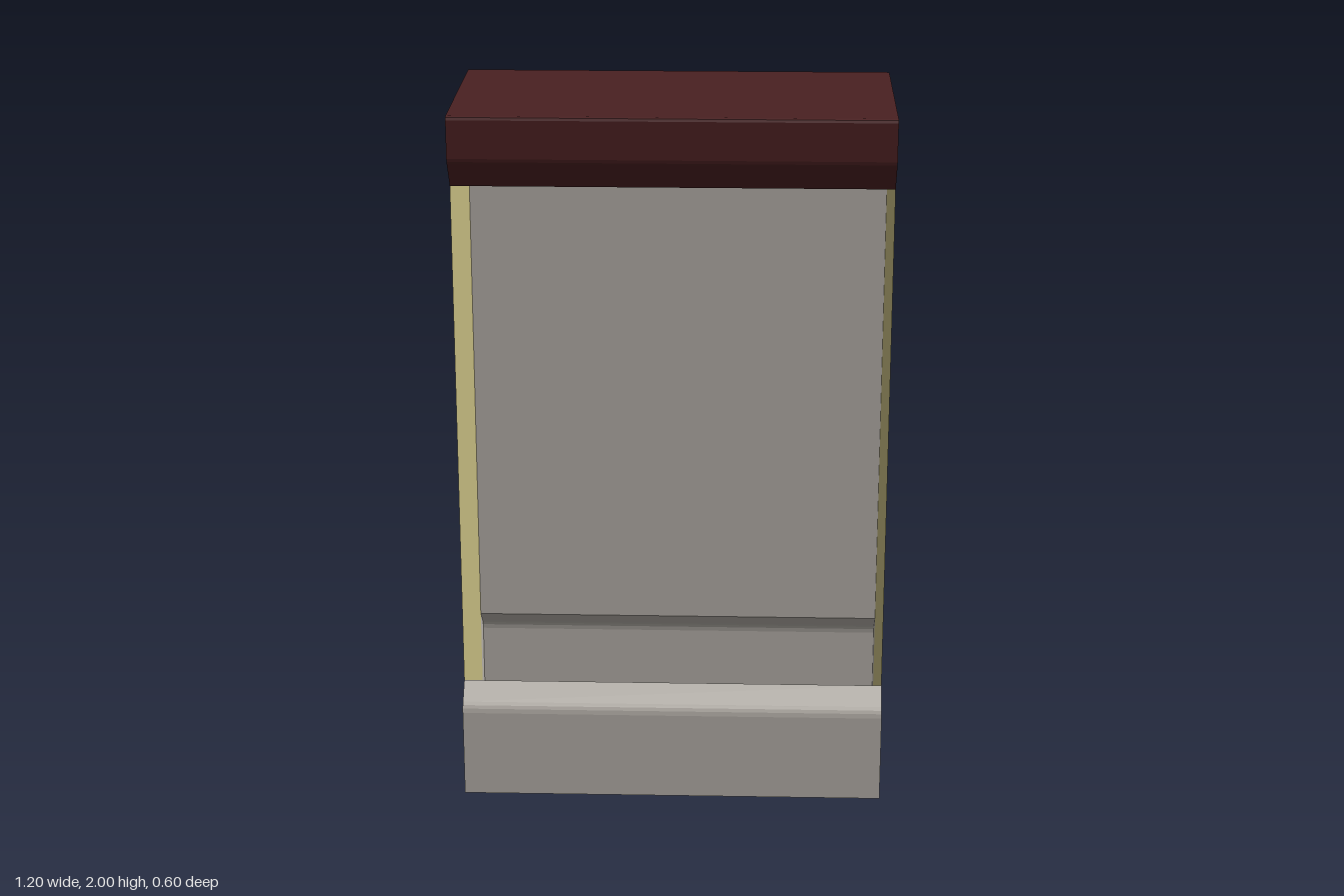
import * as THREE from 'three';
import { toCreasedNormals } from 'three/addons/utils/BufferGeometryUtils.js';

const HALF = 0.6; // half the length of the wall section

const makeMaterial = (name, color) => {
  const m = new THREE.MeshStandardMaterial({ color, side: THREE.DoubleSide });
  m.name = name;
  return m;
};

// Sheet swept along x; profile points are [z, y], running from back to front over the top
function sheet(profile) {
  const geo = new THREE.PlaneGeometry(2 * HALF, 1, 1, profile.length - 1);
  const pos = geo.attributes.position;
  for (let i = 0; i < pos.count; i++) {
    const [z, y] = profile[Math.floor(i / 2)];
    pos.setXYZ(i, pos.getX(i), y, z);
  }
  return toCreasedNormals(geo, 0.05);
}

// Flat end face in the z-y plane, facing outward on the given side
function endFace(points, side) {
  const shape = new THREE.Shape(points.map(([z, y]) => new THREE.Vector2(-side * z, y)));
  return new THREE.ShapeGeometry(shape).rotateY(side * Math.PI / 2).translate(side * HALF, 0, 0);
}

const mirrorZ = (points) => points.map(([z, y]) => [-z, y]).reverse();

export function createModel() {
  const group = new THREE.Group();
  group.name = 'wallSection';
  const stone = makeMaterial('grey stone', 0xb6b1aa);
  const core = makeMaterial('tan core', 0xc6bc80);
  const coping = makeMaterial('dark red coping', 0x4a2021);

  const add = (name, geometry, material) => {
    const mesh = new THREE.Mesh(geometry, material);
    mesh.name = name;
    group.add(mesh);
  };

  // Coping half profile, top to bottom
  const capFront = [[0.29, 2], [0.297, 1.997], [0.3, 1.99], [0.3, 1.885], [0.298, 1.876], [0.294, 1.87], [0.238, 1.795]];
  const capProfile = [...mirrorZ(capFront), ...capFront];
  add('coping', sheet(capProfile), coping);

  // Plinth half profile, top to bottom
  const plinth = [[0.238, 0.33], [0.287, 0.285], [0.294, 0.277], [0.298, 0.268], [0.3, 0.255], [0.3, 0]];
  add('frontPlinth', sheet(plinth), stone);
  add('backPlinth', sheet(mirrorZ(plinth)), stone);

  // Wall face at the back; the front is open
  add('backPanel', sheet([[-0.238, 0.33], [-0.238, 1.795]]), stone);

  // End faces with the coping outline, and plinth ends beside them
  const endOutline = [[-0.238, 0], ...capProfile, [0.238, 0]];
  const plinthEnd = [...plinth, [0.238, 0]];
  for (const side of [1, -1]) {
    const label = side > 0 ? 'left' : 'right';
    add(label + 'End', endFace(endOutline, side), core);
    add(label + 'FrontPlinthEnd', endFace(plinthEnd, side), stone);
    add(label + 'BackPlinthEnd', endFace(mirrorZ(plinthEnd), side), stone);
  }
  return group;
}
